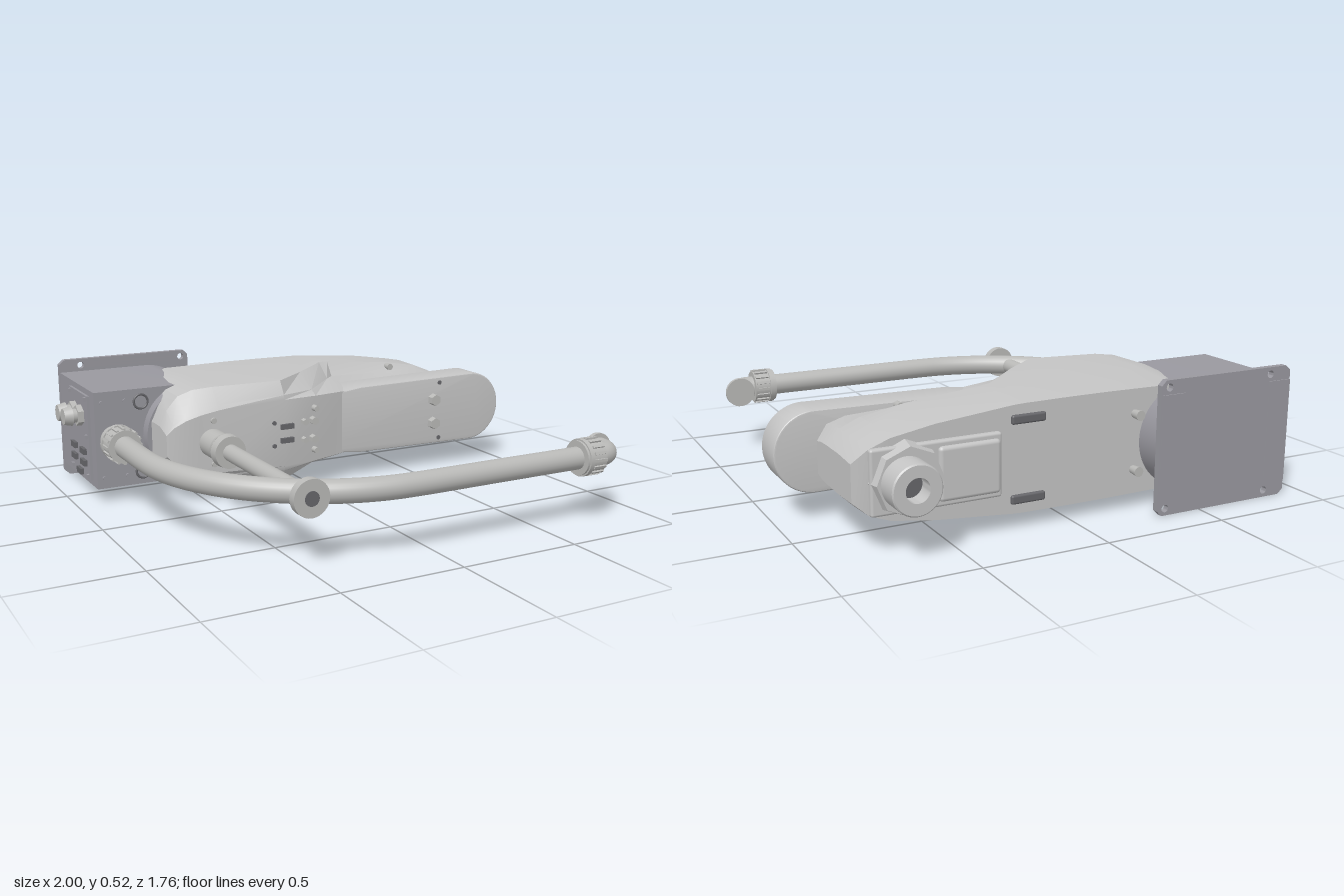
import * as THREE from 'three';
import { toCreasedNormals } from 'three/addons/utils/BufferGeometryUtils.js';
import { RoundedBoxGeometry } from 'three/addons/geometries/RoundedBoxGeometry.js';

const material = (name, color) => {
  const m = new THREE.MeshStandardMaterial({ color });
  m.name = name;
  return m;
};
const MID = 0.265; // height of the plane of symmetry

export function createModel() {
  const root = new THREE.Group();
  root.name = 'jointedArm';
  const light = material('light grey', 0xc4c4c4);
  const grey = material('base grey', 0x99989f);
  const hoseGrey = material('hose grey', 0xb9b9b7);
  const dark = material('dark grey', 0x66666a);

  const add = (name, geo, mat, x = 0, y = 0, z = 0, parent = root) => {
    const mesh = new THREE.Mesh(geo, mat);
    mesh.name = name;
    mesh.position.set(x, y, z);
    parent.add(mesh);
    return mesh;
  };
  // Cylinder along z from z0 to z1
  const rodZ = (name, mat, x, y, z0, z1, r0, r1 = r0, sides = 32, parent = root) => {
    const geo = new THREE.CylinderGeometry(r1, r0, z1 - z0, sides).rotateX(Math.PI / 2);
    return add(name, sides > 8 ? geo : toCreasedNormals(geo, 0.4), mat, x, y, (z0 + z1) / 2, parent);
  };
  const box = (name, mat, sx, sy, sz, x, y, z) => add(name, new THREE.BoxGeometry(sx, sy, sz), mat, x, y, z);
  const extrude = (shape, depth, bevel = 0) => toCreasedNormals(new THREE.ExtrudeGeometry(shape, {
    depth: depth - 2 * bevel, bevelEnabled: bevel > 0, bevelSize: bevel, bevelOffset: -bevel,
    bevelThickness: bevel, bevelSegments: 3, curveSegments: 24,
  }).translate(0, 0, bevel), 0.5);

  // Base mounting plate with corner holes
  const plate = new THREE.Shape();
  plate.moveTo(-0.89, 0).lineTo(-0.325, 0).lineTo(-0.305, 0.02).lineTo(-0.305, 0.505).lineTo(-0.325, 0.525)
    .lineTo(-0.89, 0.525).lineTo(-0.912, 0.505).lineTo(-0.912, 0.02);
  for (const x of [-0.815, -0.34]) for (const y of [0.028, 0.497]) {
    plate.holes.push(new THREE.Path().absarc(x, y, 0.015, 0, Math.PI * 2, true));
  }
  add('basePlate', extrude(plate, 0.026), grey, 0, 0, -0.862);
  for (const x of [-0.86, -0.36]) box('plateStrip', grey, 0.1, 0.41, 0.006, x, MID, -0.864);

  // Base body: square at the left, round at the joint
  const body = new THREE.Shape();
  body.moveTo(-0.91, 0.06).lineTo(-0.51, 0.06).absarc(-0.51, MID, 0.205, -Math.PI / 2, Math.PI / 2, false)
    .lineTo(-0.91, 0.47);
  add('baseBody', extrude(body, 0.5), grey, 0, 0, -0.84);
  rodZ('jointRing', grey, -0.49, MID, -0.34, -0.3, 0.215, 0.21, 48);
  for (const s of [-1, 1]) {
    add('baseFrontRing', new THREE.TorusGeometry(0.03, 0.005, 8, 24), dark, -0.71, MID + s * 0.15, -0.34);
    for (const x of [-0.88, -0.78]) rodZ('baseScrew', grey, x, MID + s * 0.16, -0.34, -0.333, 0.009, 0.009, 12);
  }

  // Connector panel on the end of the base
  box('connectorPanel', grey, 0.012, 0.36, 0.26, -0.915, MID, -0.53);
  for (const z of [-0.575, -0.49]) {
    const gland = new THREE.Group();
    gland.name = 'cableGland';
    gland.position.set(-0.92, 0.35, z);
    gland.rotation.y = -Math.PI / 2;
    root.add(gland);
    rodZ('glandNut', hoseGrey, 0, 0, 0, 0.025, 0.045, 0.045, 6, gland);
    rodZ('glandNeck', hoseGrey, 0, 0, 0.025, 0.045, 0.03, 0.03, 24, gland);
    rodZ('glandCap', hoseGrey, 0, 0, 0.045, 0.08, 0.042, 0.034, 24, gland);
  }
  for (const [y, z] of [[0.2, -0.6], [0.15, -0.6], [0.2, -0.47], [0.15, -0.47], [0.1, -0.53]]) {
    box('panelSocket', dark, 0.02, 0.025, 0.06, -0.925, y, z);
  }
  for (const y of [0.1, 0.27, 0.43]) for (const z of [-0.64, -0.42]) box('panelScrew', grey, 0.018, 0.016, 0.016, -0.923, y, z);

  // Main housing: cross-sections along x
  // x, half width, rear z, step start z, step end z, narrow half width, front z
  const sections = [
    [-0.68, 0.07, -0.33, -0.2, -0.14, 0.05, -0.125],
    [-0.65, 0.135, -0.34, -0.2, -0.13, 0.085, -0.115],
    [-0.6, 0.19, -0.52, -0.2, -0.12, 0.115, -0.105],
    [-0.54, 0.213, -0.64, -0.19, -0.12, 0.135, -0.1],
    [-0.46, 0.222, -0.73, -0.17, -0.115, 0.15, -0.1],
    [-0.16, 0.226, -0.73, -0.14, -0.105, 0.165, -0.1],
    [0, 0.226, -0.73, -0.27, -0.16, 0.163, -0.12],
    [0.19, 0.224, -0.73, -0.45, -0.37, 0.157, -0.17],
    [0.24, 0.222, -0.73, -0.465, -0.42, 0.155, -0.3],
    [0.55, 0.19, -0.735, -0.465, -0.42, 0.15, -0.31],
    [0.72, 0.16, -0.74, -0.465, -0.42, 0.14, -0.31],
    [0.8, 0.127, -0.74, -0.47, -0.41, 0.12, -0.33],
    [0.855, 0.075, -0.72, -0.48, -0.42, 0.07, -0.38],
  ];
  const pos = [], idx = [], N = 10;
  for (const [x, w, zb, zs, ze, wn, zf] of sections) {
    const half = [[zb, w * 0.92], [zb + 0.5 * (zs - zb), w], [zs, w * 0.98], [ze, wn], [zf, wn * 0.88]];
    half.forEach(([z, y]) => pos.push(x, MID + y, z));
    half.reverse().forEach(([z, y]) => pos.push(x, MID - y, z));
  }
  for (let s = 0; s < sections.length - 1; s++) for (let i = 0; i < N; i++) {
    const a = s * N + i, b = s * N + (i + 1) % N;
    idx.push(a, b, a + N, b, b + N, a + N);
  }
  const last = (sections.length - 1) * N;
  for (let i = 1; i < N - 1; i++) idx.push(0, i + 1, i, last, last + i, last + i + 1);
  const housing = new THREE.BufferGeometry();
  housing.setAttribute('position', new THREE.Float32BufferAttribute(pos, 3));
  housing.setIndex(idx);
  add('housing', toCreasedNormals(housing, 0.4), light);

  // Flat outer link with a round end
  const link = new THREE.Shape();
  link.moveTo(0.04, MID - 0.125).lineTo(0.25, MID - 0.15).lineTo(0.84, MID - 0.158)
    .absarc(0.84, MID, 0.158, -Math.PI / 2, Math.PI / 2, false).lineTo(0.25, MID + 0.15).lineTo(0.04, MID + 0.125);
  add('outerLink', extrude(link, 0.15, 0.008), light, 0, 0, -0.31);
  for (const s of [-1, 1]) {
    rodZ('linkPlug', hoseGrey, 0.63, MID + s * 0.055, -0.16, -0.13, 0.028, 0.026, 6);
    rodZ('linkScrew', dark, 0.665, MID + s * 0.13, -0.16, -0.156, 0.01, 0.01, 12);
    rodZ('housingScrew', hoseGrey, 0.555, MID + s * 0.17, -0.45, -0.415, 0.015, 0.015, 16);
  }

  // Small fittings on the housing front
  for (const s of [-1, 1]) {
    for (const x of [-0.485, -0.01]) rodZ('frontBolt', hoseGrey, x, MID + s * 0.092, -0.12, -0.09, 0.014, 0.012, 16);
    rodZ('frontPort', hoseGrey, -0.02, MID + s * 0.04, -0.12, -0.085, 0.018, 0.018, 6);
    rodZ('frontPort', hoseGrey, -0.065, MID + s * 0.04, -0.12, -0.085, 0.014, 0.014, 6);
    box('frontSocket', dark, 0.06, 0.022, 0.02, -0.15, MID + s * 0.03, -0.098);
    rodZ('frontScrew', dark, -0.21, MID + s * 0.05, -0.11, -0.092, 0.009, 0.009, 12);
  }

  // Rear of the housing: output flange, cover, grips and knobs
  rodZ('flangeMount', light, 0.665, MID, -0.79, -0.73, 0.125, 0.14, 8);
  add('rearStep', new RoundedBoxGeometry(0.5, 0.24, 0.03, 2, 0.01), light, 0.55, MID, -0.745);
  add('rearCover', new RoundedBoxGeometry(0.24, 0.2, 0.05, 3, 0.015), light, 0.43, MID, -0.75);
  const flange = new THREE.LatheGeometry(
    [[0.045, 0.03], [0.045, 0.105], [0.088, 0.105], [0.093, 0.1], [0.093, 0]].map(p => new THREE.Vector2(...p)).reverse(), 40);
  add('outputFlange', toCreasedNormals(flange.rotateX(-Math.PI / 2), 0.5), light, 0.682, MID, -0.783);
  rodZ('flangeBore', dark, 0.682, MID, -0.82, -0.812, 0.046);
  for (const s of [-1, 1]) {
    add('rearGrip', new RoundedBoxGeometry(0.14, 0.035, 0.02, 2, 0.008), dark, 0.18, MID + s * 0.15, -0.732);
    rodZ('rearKnob', hoseGrey, -0.28, MID + s * 0.11, -0.772, -0.73, 0.02, 0.016, 16);
  }

  // Ribbed coupling along z, starting at its own origin
  const coupling = (name, x, z, length, r) => {
    const g = new THREE.Group();
    g.name = name;
    g.position.set(x, MID, z);
    root.add(g);
    rodZ('sleeve', hoseGrey, 0, 0, 0, length, r * 0.92, r * 0.92, 32, g);
    rodZ('collar', hoseGrey, 0, 0, length * 0.1, length * 0.3, r, r, 32, g);
    for (let i = 0; i < 16; i++) {
      const a = i * Math.PI / 8;
      const rib = add('rib', new THREE.BoxGeometry(r * 0.14, r * 0.14, length * 0.6), hoseGrey,
        Math.cos(a) * r * 0.94, Math.sin(a) * r * 0.94, length * 0.65, g);
      rib.rotation.z = a;
    }
    return g;
  };

  // Long curved hose
  const v = (x, z) => new THREE.Vector3(x, MID, z);
  const bend = [v(-0.83, -0.33), v(-0.83, -0.15)];
  for (let i = 0; i <= 12; i++) {
    const a = i / 12 * Math.PI / 2;
    bend.push(v(-0.08 - 0.75 * Math.cos(a), 0.05 + 0.75 * Math.sin(a)));
  }
  bend.push(v(0.3, 0.8), v(0.7, 0.8));
  add('longHose', new THREE.TubeGeometry(new THREE.CatmullRomCurve3(bend), 90, 0.045, 24), hoseGrey);
  rodZ('hoseSeat', hoseGrey, -0.83, MID, -0.34, -0.3, 0.06);
  coupling('baseCoupling', -0.83, -0.305, 0.105, 0.075);
  coupling('endCoupling', 0.665, 0.8, 0.095, 0.075).rotation.y = Math.PI / 2;

  // Elbow at the hose end
  const elbow = new THREE.QuadraticBezierCurve3(v(0.75, 0.8), v(0.84, 0.815), v(0.84, 0.725));
  add('elbow', new THREE.TubeGeometry(elbow, 20, 0.046, 24), hoseGrey);
  rodZ('elbowFlange', hoseGrey, 0.838, MID, 0.71, 0.728, 0.063);

  // Straight hose from the housing
  rodZ('straightHose', hoseGrey, -0.49, MID, -0.1, 0.76, 0.034);
  rodZ('straightSocket', hoseGrey, -0.49, MID, -0.12, 0.02, 0.058);
  rodZ('straightCone', hoseGrey, -0.49, MID, 0.01, 0.04, 0.06, 0.068);
  rodZ('straightCollar', hoseGrey, -0.49, MID, 0.045, 0.085, 0.07, 0.066);
  rodZ('straightCap', hoseGrey, -0.49, MID, 0.745, 0.78, 0.071);
  rodZ('capBore', dark, -0.49, MID, 0.778, 0.783, 0.028);
  return root;
}
